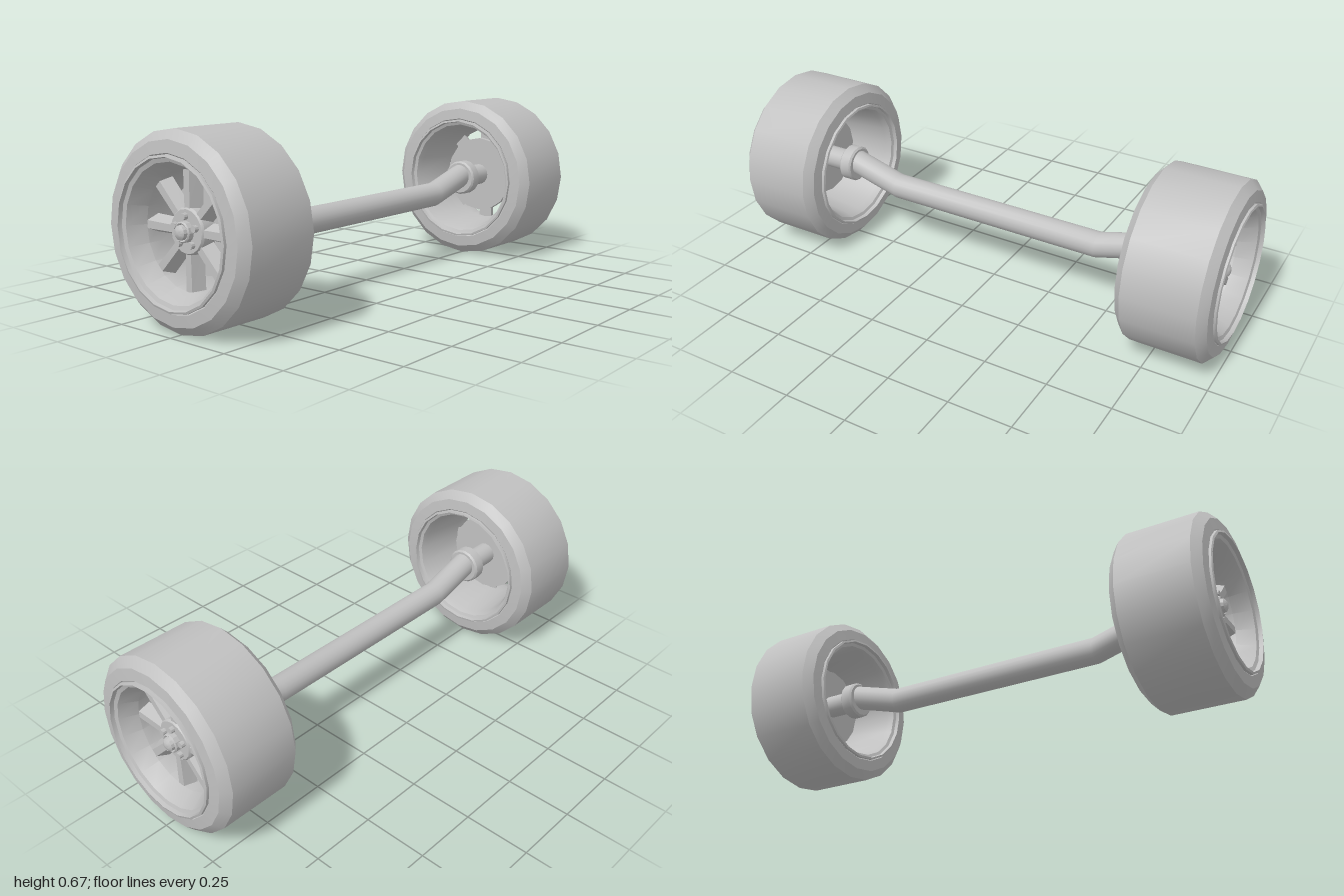
import * as THREE from 'three';
import { toCreasedNormals } from 'three/addons/utils/BufferGeometryUtils.js';

const AXLE_Y = 0.339;
const grey = new THREE.MeshStandardMaterial({ color: 0xc0c0c0 });
grey.name = 'plain grey';

function add(parent, name, geometry) {
  const mesh = new THREE.Mesh(geometry, grey);
  mesh.name = name;
  parent.add(mesh);
  return mesh;
}

// Turned solid along x from [x, radius] pairs
function turned(profile, sides) {
  const points = profile.map(([x, r]) => new THREE.Vector2(r, x));
  const geometry = new THREE.LatheGeometry(points, sides).rotateZ(-Math.PI / 2);
  return toCreasedNormals(geometry, 0.45);
}

// Plain capped cylinder along x
const disc = (x0, x1, r, sides) => turned([[x0, 0], [x0, r], [x1, r], [x1, 0]], sides);

// Spoke with a narrow outer face and sloping flanks
function spokeGeometry() {
  const geometry = new THREE.BoxGeometry(0.045, 0.145, 1);
  const p = geometry.attributes.position;
  for (let i = 0; i < p.count; i++) {
    const taper = p.getY(i) > 0 ? 1 : 0.88;
    const width = p.getX(i) > 0 ? 0.028 : 0.064;
    p.setZ(i, p.getZ(i) * width * taper);
  }
  geometry.translate(0.892, 0.1375, 0);
  geometry.computeVertexNormals();
  return geometry;
}

function buildWheel(name) {
  const wheel = new THREE.Group();
  wheel.name = name;

  // Tyre and rim
  add(wheel, 'tyre', turned([
    [0.66, 0.245], [0.645, 0.262], [0.65, 0.305], [0.68, 0.337],
    [0.955, 0.337], [0.985, 0.305], [0.99, 0.262], [0.975, 0.245],
  ], 20));
  add(wheel, 'rim', turned([
    [0.635, 0.25], [0.637, 0.258], [0.66, 0.258], [0.68, 0.248], [0.95, 0.248],
    [0.975, 0.258], [0.997, 0.258], [1.0, 0.25], [0.985, 0.247], [0.98, 0.233],
    [0.915, 0.203], [0.86, 0.203], [0.68, 0.225], [0.655, 0.235], [0.65, 0.247], [0.635, 0.25],
  ], 20));

  // Eight spokes around the hub
  const spoke = spokeGeometry();
  for (let i = 0; i < 8; i++) {
    add(wheel, 'spoke', spoke).rotation.x = i * Math.PI / 4;
  }
  add(wheel, 'hub', turned([
    [0.865, 0], [0.865, 0.08], [0.912, 0.08], [0.92, 0.074], [0.92, 0],
  ], 16));

  // Centre cap with a domed middle
  add(wheel, 'centreCap', turned([
    [0.915, 0.036], [0.938, 0.036], [0.942, 0.031], [0.938, 0.026],
    [0.95, 0.024], [0.957, 0.014], [0.96, 0],
  ], 12));

  // Five wheel nuts
  const nut = disc(0.915, 0.935, 0.0115, 10);
  for (let i = 0; i < 5; i++) {
    const a = i * Math.PI * 2 / 5;
    add(wheel, 'wheelNut', nut).position.set(0, 0.051 * Math.cos(a), 0.051 * Math.sin(a));
  }

  // Brake disc and bearing parts on the inner side
  add(wheel, 'brakeDisc', disc(0.81, 0.835, 0.163, 16));
  add(wheel, 'stubShaft', disc(0.66, 0.87, 0.045, 16));
  add(wheel, 'bearingCollar', turned([
    [0.65, 0], [0.65, 0.066], [0.657, 0.073], [0.698, 0.073], [0.705, 0.066], [0.705, 0],
  ], 16));

  wheel.position.y = AXLE_Y;
  return wheel;
}

// Dropped axle tube: straight in the middle, rising to each hub
function axleGeometry() {
  const stations = [-0.66, -0.45, 0.45, 0.66];
  const r = 0.05;
  const geometry = turned([[-0.66, 0], ...stations.map((x) => [x, r]), [0.66, 0]], 20);
  const p = geometry.attributes.position;
  for (let i = 0; i < p.count; i++) {
    const rise = Math.max(0, Math.abs(p.getX(i)) - 0.45) / 0.21;
    p.setY(i, p.getY(i) + 0.29 + rise * 0.059);
  }
  geometry.deleteAttribute('normal');
  return toCreasedNormals(geometry, 0.45);
}

export function createModel() {
  const model = new THREE.Group();
  model.name = 'wheelAxle';
  add(model, 'axleTube', axleGeometry());
  model.add(buildWheel('leftWheel'));
  const right = buildWheel('rightWheel');
  right.rotation.y = Math.PI;
  model.add(right);
  return model;
}
